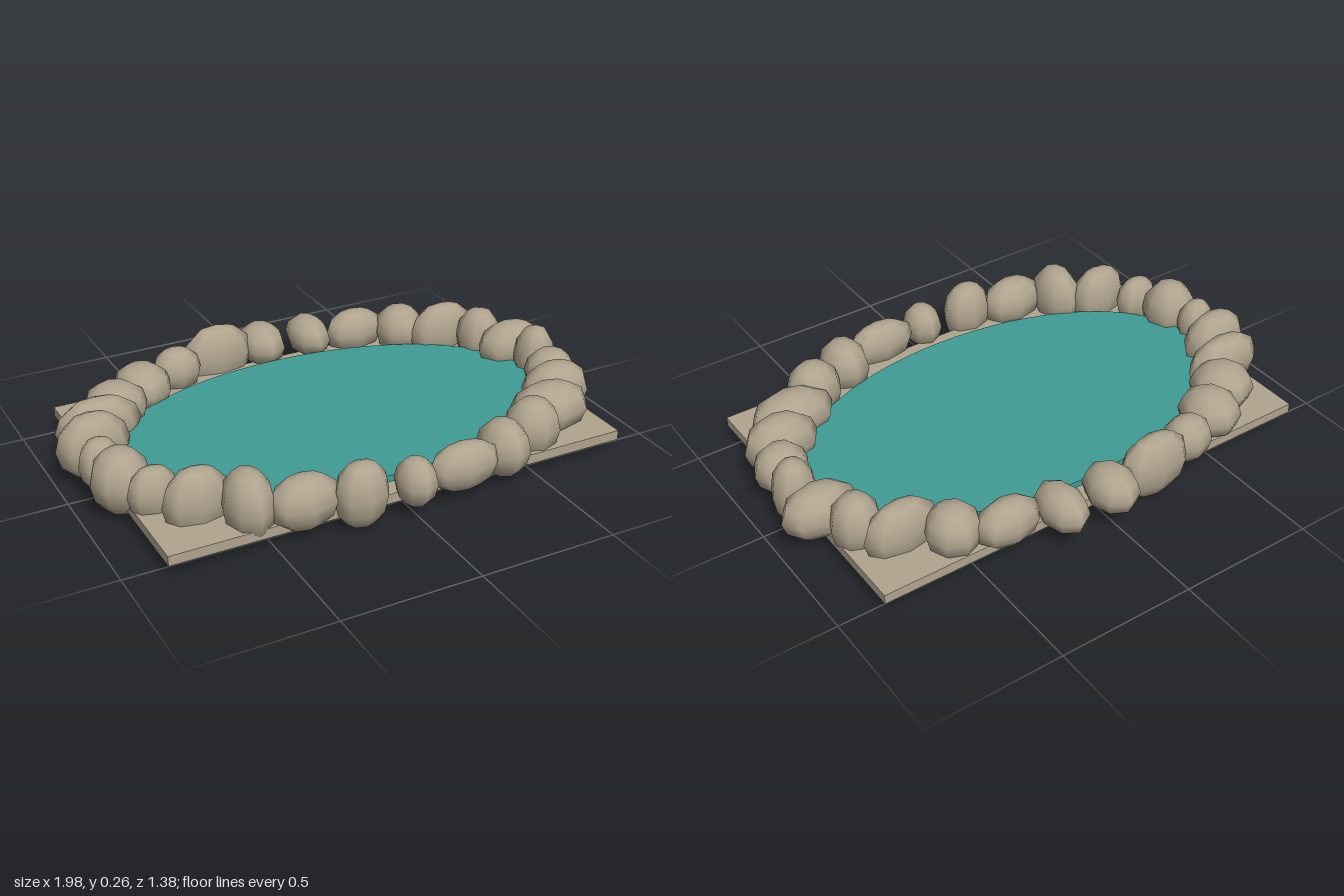
import * as THREE from 'three';

export function createModel() {
  const stone = new THREE.MeshStandardMaterial({ color: 0xb0a48e });
  stone.name = 'stone';
  const water = new THREE.MeshStandardMaterial({ color: 0x409c94 });
  water.name = 'water';

  const pond = new THREE.Group();
  pond.name = 'pond';

  // Rectangular slab under the pond
  const base = new THREE.Mesh(new THREE.BoxGeometry(1.715, 0.036, 1.1), stone);
  base.name = 'baseSlab';
  base.position.set(-0.007, 0.068, 0.01);
  pond.add(base);

  // Oval sheet of water
  const surface = new THREE.Mesh(new THREE.CylinderGeometry(1, 1, 0.024, 64), water);
  surface.name = 'waterSurface';
  surface.scale.set(0.82, 1, 0.48);
  surface.position.set(-0.007, 0.098, 0.01);
  pond.add(surface);

  // Radii [x, y, z] of the border stones, from the back middle towards +x
  const radii = [
    [0.09, 0.085, 0.112], [0.08, 0.08, 0.118], [0.125, 0.09, 0.075], [0.10, 0.1, 0.10],
    [0.14, 0.12, 0.065], [0.09, 0.12, 0.09], [0.14, 0.1, 0.09], [0.08, 0.132, 0.08],
    [0.10, 0.095, 0.09], [0.14, 0.108, 0.095], [0.16, 0.097, 0.105], [0.105, 0.115, 0.095],
    [0.09, 0.105, 0.107], [0.14, 0.09, 0.065], [0.072, 0.088, 0.083], [0.10, 0.123, 0.075],
    [0.13, 0.1, 0.08], [0.088, 0.128, 0.115], [0.12, 0.128, 0.07], [0.09, 0.1, 0.06],
    [0.105, 0.12, 0.105], [0.077, 0.1, 0.062], [0.135, 0.125, 0.08], [0.16, 0.11, 0.07],
    [0.12, 0.09, 0.115], [0.11, 0.09, 0.118], [0.097, 0.09, 0.08], [0.145, 0.127, 0.067],
  ];

  // Ring of rounded stones around the water
  const ring = new THREE.Group();
  ring.name = 'stoneBorder';
  const pebble = new THREE.SphereGeometry(1, 8, 6);
  radii.forEach(([rx, ry, rz], i) => {
    const angle = (i / radii.length) * Math.PI * 2;
    const rock = new THREE.Mesh(pebble, stone);
    rock.name = 'borderStone' + (i + 1);
    rock.scale.set(rx, ry, rz);
    rock.position.set(-0.007 + 0.873 * Math.sin(angle), 0.138, 0.01 - 0.59 * Math.cos(angle));
    ring.add(rock);
  });
  pond.add(ring);

  return pond;
}
